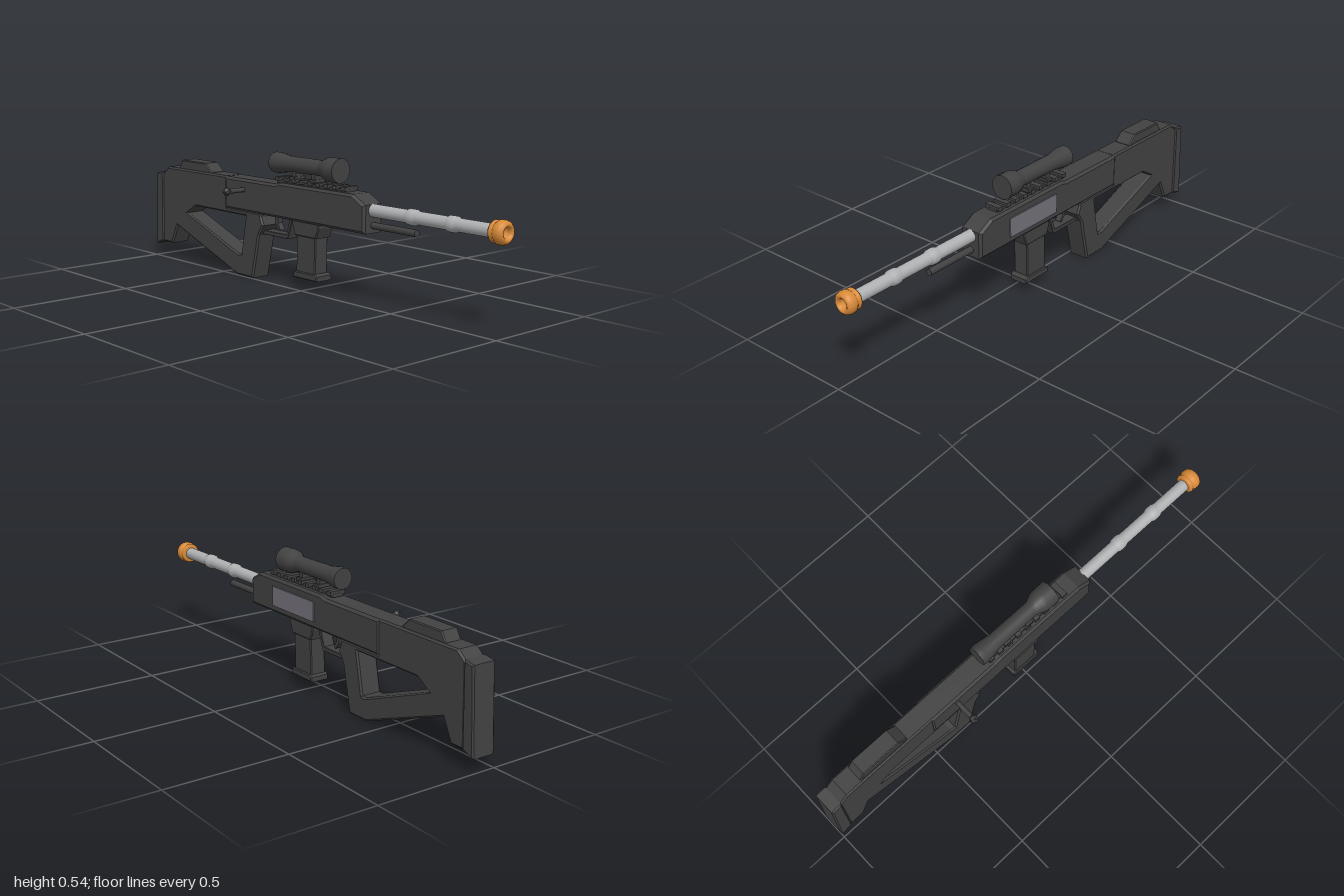
import * as THREE from 'three';

const CX = 0.05; // centre plane of the rifle

export function createModel() {
  const root = new THREE.Group();
  const mat = (name, color) => {
    const m = new THREE.MeshStandardMaterial({ color });
    m.name = name;
    return m;
  };
  const dark = mat('darkPolymer', 0x424242);
  const steel = mat('steel', 0xb0b1b3);
  const orange = mat('orangeTip', 0xd98a38);
  const grey = mat('greyPanel', 0x74727a);

  const add = (name, geo, material, x = 0, y = 0, z = 0) => {
    const mesh = new THREE.Mesh(geo, material);
    mesh.name = name;
    mesh.position.set(x, y, z);
    root.add(mesh);
    return mesh;
  };
  const box = (name, material, w, h, d, x, y, z) =>
    add(name, new THREE.BoxGeometry(w, h, d), material, x, y, z);

  // Side outline of [z, y] points, extruded across the width with a small bevel
  const slab = (name, pts, width, bevel = 0.006, hole = null) => {
    const toV = (p) => new THREE.Vector2(-p[0], p[1]);
    const shape = new THREE.Shape(pts.map(toV));
    if (hole) shape.holes.push(new THREE.Path(hole.map(toV)));
    const geo = new THREE.ExtrudeGeometry(shape, {
      depth: width - 2 * bevel, bevelEnabled: bevel > 0, bevelSegments: 1,
      bevelThickness: bevel, bevelSize: bevel, bevelOffset: -bevel,
    });
    geo.translate(0, 0, -(width - 2 * bevel) / 2);
    geo.rotateY(Math.PI / 2);
    return add(name, geo, dark, CX);
  };
  // Turned part along z: profile of [radius, z] points, listed back to front
  const turned = (name, pts, y, material, sides = 24) => {
    const geo = new THREE.LatheGeometry(pts.map((p) => new THREE.Vector2(p[0], p[1])), sides);
    geo.rotateX(Math.PI / 2);
    return add(name, geo, material, CX, y);
  };
  const rod = (name, r, z0, z1, y, material, sides = 16) => {
    const geo = new THREE.CylinderGeometry(r, r, z1 - z0, sides);
    geo.rotateX(Math.PI / 2);
    return add(name, geo, material, CX, y, (z0 + z1) / 2);
  };

  // Receiver
  slab('receiver', [[0.355, 0.28], [0.355, 0.39], [0.29, 0.425], [-0.13, 0.425],
    [-0.16, 0.417], [-0.49, 0.417], [-0.49, 0.28]], 0.1, 0.01);
  box('sidePanel', grey, 0.009, 0.08, 0.28, 0.1005, 0.35, 0.05);

  // Stock with open grip frame
  slab('stock', [[-0.255, 0.285], [-0.255, 0.268], [-0.24, 0.235], [-0.27, 0.19], [-0.28, 0.14],
    [-0.312, 0.003], [-0.415, 0.003], [-0.842, 0.158], [-0.882, 0.072], [-0.95, 0.072],
    [-0.945, 0.385], [-0.905, 0.418], [-0.48, 0.418], [-0.48, 0.285]], 0.092, 0.007,
  [[-0.355, 0.262], [-0.70, 0.262], [-0.765, 0.225], [-0.41, 0.095], [-0.388, 0.095]]);
  slab('buttPad', [[-0.945, 0.075], [-0.94, 0.393], [-0.987, 0.385], [-1, 0.055]], 0.1, 0.006);
  slab('cheekRest', [[-0.60, 0.41], [-0.60, 0.42], [-0.64, 0.456], [-0.81, 0.456],
    [-0.832, 0.42], [-0.832, 0.41]], 0.072, 0.004);

  // Magazine
  slab('magazineWell', [[0.092, 0.285], [0.092, 0.265], [0.075, 0.222], [-0.05, 0.222],
    [-0.065, 0.265], [-0.065, 0.285]], 0.08, 0.004);
  slab('magazine', [[0.068, 0.23], [0.064, 0.06], [-0.048, 0.06], [-0.044, 0.23]], 0.068, 0.004);
  slab('magazineBase', [[0.082, 0.05], [0.082, 0.07], [0.07, 0.078], [-0.046, 0.078],
    [-0.058, 0.07], [-0.058, 0.05]], 0.082, 0.004);

  // Trigger and its guard
  slab('triggerGuard', [[-0.085, 0.285], [-0.085, 0.265], [-0.11, 0.195], [-0.265, 0.195],
    [-0.265, 0.212], [-0.12, 0.212], [-0.102, 0.265], [-0.102, 0.285]], 0.05, 0.002);
  slab('trigger', [[-0.18, 0.285], [-0.185, 0.25], [-0.168, 0.222], [-0.178, 0.218],
    [-0.2, 0.245], [-0.205, 0.285]], 0.025, 0);

  // Barrel with two swellings
  const barrel = [[0.025, 0.33]];
  for (const z of [0.56, 0.755]) {
    barrel.push([0.025, z - 0.028], [0.03, z - 0.016], [0.031, z], [0.03, z + 0.016], [0.025, z + 0.028]);
  }
  barrel.push([0.025, 0.96]);
  turned('barrel', barrel, 0.367, steel);
  rod('lowerRod', 0.0135, 0.33, 0.58, 0.309, dark);

  // Orange muzzle with rounded lip and recessed bore
  turned('muzzle', [[0.022, 0.938], [0.037, 0.938], [0.041, 0.943], [0.041, 0.95], [0.037, 0.956],
    [0.04, 0.96], [0.044, 0.966], [0.044, 0.98], [0.041, 0.991], [0.034, 0.998], [0.028, 1],
    [0.022, 0.996], [0.018, 0.987], [0.017, 0.975], [0, 0.975]], 0.367, orange, 28);

  // Scope
  turned('scopeTube', [[0.042, -0.208], [0.043, -0.185], [0.033, -0.12], [0.032, 0.07],
    [0.036, 0.085], [0.047, 0.112], [0.049, 0.13], [0.049, 0.176]], 0.499, dark, 18);
  for (const [z, r, ry] of [[0.176, 0.049, 0], [-0.208, 0.042, Math.PI]]) {
    add('scopeCap', new THREE.CircleGeometry(r, 18), dark, CX, 0.499, z).rotation.set(0, ry, -Math.PI / 2);
  }
  for (const z of [0.04, -0.075]) {
    box('scopeMount', dark, 0.04, 0.045, 0.022, CX, 0.46, z);
    box('scopeClamp', dark, 0.06, 0.014, 0.03, CX, 0.447, z);
  }

  // Toothed rail
  box('railBase', dark, 0.05, 0.014, 0.41, CX, 0.428, 0.03);
  for (let i = 0; i < 9; i++) {
    box('railTooth', dark, 0.068, 0.016, 0.024, CX, 0.437, 0.222 - i * 0.048);
  }

  // Bolt handle on the right side
  const arm = new THREE.CylinderGeometry(0.01, 0.01, 0.1, 12);
  arm.rotateZ(Math.PI / 2);
  add('boltHandle', arm, dark, -0.035, 0.373, -0.36);
  add('boltKnob', new THREE.IcosahedronGeometry(0.019, 0), dark, -0.088, 0.373, -0.36);

  return root;
}
